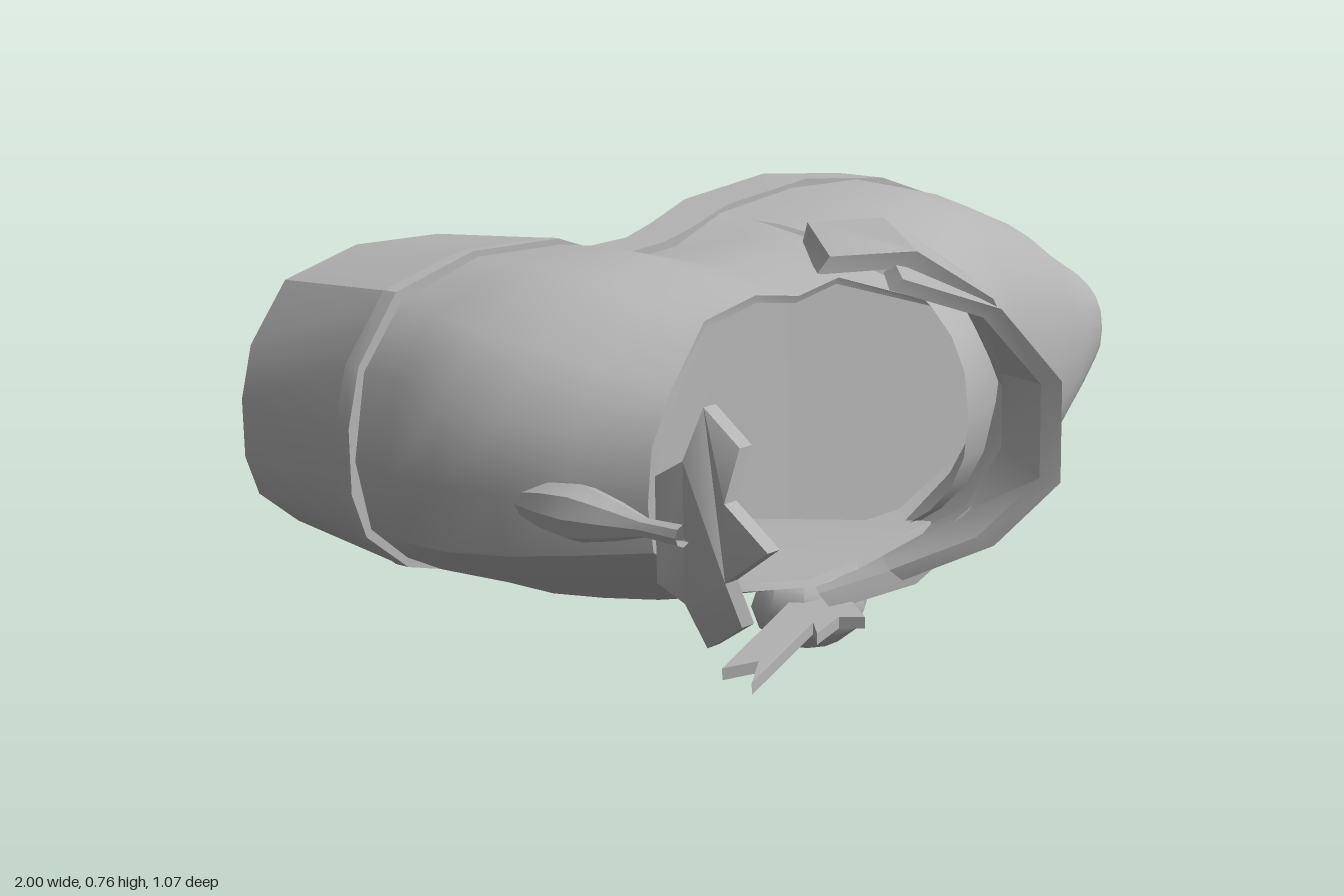
import * as THREE from 'three';
import { toCreasedNormals } from 'three/addons/utils/BufferGeometryUtils.js';

const grey = new THREE.MeshStandardMaterial({ color: 0xb4b4b4, side: THREE.DoubleSide });
grey.name = 'plain grey';

// Skins a list of equal-length point rows; optionally closes each row and caps the ends.
function loft(rows, closed = false, caps = false) {
  const n = rows[0].length, index = [];
  const last = closed ? n : n - 1;
  for (let r = 0; r < rows.length - 1; r++) {
    for (let i = 0; i < last; i++) {
      const a = r * n + i, b = r * n + ((i + 1) % n);
      index.push(a, b, a + n, b, b + n, a + n);
    }
  }
  if (caps) {
    const e = (rows.length - 1) * n;
    for (let i = 1; i < n - 1; i++) index.push(0, i + 1, i, e, e + i, e + i + 1);
  }
  const g = new THREE.BufferGeometry();
  g.setAttribute('position', new THREE.Float32BufferAttribute(rows.flat(2), 3));
  g.setIndex(index);
  return g;
}

// Extrudes an outline by a unit depth, then moves every vertex by a rule.
function bentPlate(points, rule) {
  const shape = new THREE.Shape(points.map(([x, y]) => new THREE.Vector2(x, y)));
  const g = new THREE.ExtrudeGeometry(shape, { depth: 1, bevelEnabled: false });
  const p = g.attributes.position;
  for (let i = 0; i < p.count; i++) p.setXYZ(i, ...rule(p.getX(i), p.getY(i), p.getZ(i)));
  g.computeVertexNormals();
  return g;
}

// Piecewise linear lookup.
function lookup(table, x) {
  for (let i = 1; i < table.length; i++) {
    const [x0, v0] = table[i - 1], [x1, v1] = table[i];
    if (x <= x1) return v0 + (v1 - v0) * Math.max(0, (x - x0) / (x1 - x0));
  }
  return table[table.length - 1][1];
}

const soleTop = x => lookup([[-1, -0.23], [-0.55, -0.24], [-0.4, -0.26], [-0.2, -0.32], [0.08, -0.43], [1, -0.42]], x);
const soleBottom = x => lookup([[-0.45, -0.26], [-0.4, -0.36], [-0.22, -0.4], [0.08, -0.535], [1, -0.535]], x);
const insoleZ = x => lookup([[-1, -0.16], [-0.42, -0.16], [0.05, -0.36]], x);

// Sole outline: x, low side y, high side y
const soleOutline = [
  [-0.995, 0.43, 0.53], [-0.97, 0.36, 0.62], [-0.89, 0.295, 0.72], [-0.73, 0.25, 0.76], [-0.54, 0.2, 0.755],
  [-0.45, 0.18, 0.725], [-0.4, 0.17, 0.705], [-0.22, 0.145, 0.7], [-0.1, 0.13, 0.705], [0.08, 0.1, 0.72],
  [0.3, 0.045, 0.743], [0.53, 0.02, 0.72], [0.76, 0.09, 0.645], [0.93, 0.22, 0.54], [0.99, 0.36, 0.42],
];

// Side wall stations from the instep, round the back, to the other instep
const wallBase = [
  [0.05, 0.71], [-0.17, 0.685], [-0.35, 0.69], [-0.54, 0.745], [-0.72, 0.75], [-0.88, 0.705], [-0.96, 0.61], [-0.985, 0.48],
  [-0.96, 0.37], [-0.89, 0.31], [-0.75, 0.26], [-0.6, 0.21], [-0.35, 0.17], [-0.1, 0.14], [0.05, 0.12],
];
const wallRim = [
  [0.05, 0.6, 0.06], [-0.17, 0.67, 0.03], [-0.38, 0.68, 0.12], [-0.54, 0.71, 0.17], [-0.7, 0.7, 0.21],
  [-0.82, 0.62, 0.25], [-0.87, 0.55, 0.26], [-0.88, 0.47, 0.26], [-0.87, 0.4, 0.26], [-0.8, 0.36, 0.245],
  [-0.66, 0.28, 0.2], [-0.55, 0.25, 0.17], [-0.35, 0.2, 0.12], [-0.12, 0.16, 0.03], [0.05, 0.2, 0.06],
];

// A curved band with thickness, from rear and front edge points
function band(edges, thickness) {
  const shrink = ([x, y, z]) => [x - thickness * 0.2, 0.42 + (y - 0.42) * (1 - thickness), -0.1 + (z + 0.1) * (1 - thickness)];
  return loft(edges.map(([rear, front]) => [rear, front, shrink(front), shrink(rear)]), true, true);
}

export function createModel() {
  const shoe = new THREE.Group();
  shoe.name = 'shoe';
  const add = (name, geometry, crease = 0.6) => {
    const mesh = new THREE.Mesh(toCreasedNormals(geometry, crease), grey);
    mesh.name = name;
    shoe.add(mesh);
    return mesh;
  };

  // Sole and heel block
  add('sole', loft(soleOutline.map(([x, lo, hi]) => [
    [x, lo, soleBottom(x)], [x, hi, soleBottom(x)], [x, hi, soleTop(x)], [x, lo, soleTop(x)],
  ]), true, true));
  const heelSide = soleOutline.slice(0, 7);
  const heelOutline = [...heelSide.map(([x, lo]) => [x, lo]), ...heelSide.map(([x, , hi]) => [x, hi]).reverse()];
  add('heel', bentPlate(heelOutline, (x, y, t) => {
    const s = 0.92 + 0.08 * t;
    return [-0.4 + (x + 0.4) * s, 0.47 + (y - 0.47) * s, -0.535 + t * 0.29];
  }));

  // Toe upper: arched sections x, low y, high y, top z
  const toeSections = [
    [0.03, 0.125, 0.71, 0.15], [0.13, 0.1, 0.715, 0.12], [0.26, 0.065, 0.73, 0.055], [0.45, 0.04, 0.725, -0.03],
    [0.58, 0.04, 0.695, -0.065], [0.76, 0.105, 0.63, -0.12], [0.87, 0.185, 0.565, -0.155], [0.945, 0.245, 0.525, -0.18],
    [0.985, 0.33, 0.45, -0.27],
  ];
  add('toeUpper', loft(toeSections.map(([x, lo, hi, top]) => {
    const base = soleTop(x);
    return Array.from({ length: 17 }, (_, i) => {
      const a = Math.PI * i / 16, c = Math.cos(a), k = 2 / 2.4;
      return [x, (lo + hi) / 2 + (hi - lo) / 2 * Math.sign(c) * Math.abs(c) ** k,
        base + (top - base) * Math.abs(Math.sin(a)) ** k];
    });
  }), false, false), 0.7);
  add('toeFront', loft([[[0.985, 0.33, -0.42], [0.985, 0.45, -0.42]], [[0.985, 0.34, -0.3], [0.985, 0.44, -0.3]],
    [[0.985, 0.38, -0.27], [0.985, 0.4, -0.27]]]));

  // Bulging rear wall, lining and insole
  const wallRing = t => wallBase.map(([bx, by], i) => {
    const [rx, ry, rz] = wallRim[i], bulge = Math.sin(Math.PI * t);
    const x = bx + (rx - bx) * t, y = by + (ry - by) * t, z = soleTop(bx);
    return [x < -0.4 ? -0.4 + (x + 0.4) * (1 + 0.13 * bulge) : x, 0.45 + (y - 0.45) * (1 + 0.09 * bulge), z + (rz - z) * t];
  });
  add('rearUpper', loft([0, 0.2, 0.4, 0.6, 0.8, 1].map(wallRing)), 0.7);
  const inset = ([x, y], s) => [-0.4 + (x + 0.4) * (x < -0.4 ? s : 1), 0.45 + (y - 0.45) * s];
  const innerRim = wallRim.map(p => [...inset(p, 0.95), p[2] - 0.005]);
  const innerBase = wallBase.map(p => [...inset(p, 0.92), insoleZ(p[0])]);
  add('lining', loft([wallRim, innerRim, innerBase]));
  add('insole', loft(innerBase.slice(0, 8).map((p, i) => [p, innerBase[14 - i]])));

  // Instep strap and tongue
  add('strap', band([
    [[-0.18, 0.705, 0.02], [-0.02, 0.725, -0.16]], [[-0.05, 0.705, 0.1], [0.08, 0.73, -0.07]],
    [[0.05, 0.62, 0.185], [0.19, 0.63, 0.02]], [[0.13, 0.42, 0.245], [0.26, 0.43, 0.08]],
    [[0.06, 0.25, 0.19], [0.19, 0.25, 0.02]], [[-0.05, 0.13, 0.1], [0.08, 0.1, -0.07]],
    [[-0.18, 0.1, 0.02], [-0.02, 0.08, -0.16]],
  ], 0.1));
  add('tongue', band([
    [[-0.14, 0.675, 0.14], [-0.06, 0.685, 0.06]], [[-0.06, 0.63, 0.28], [0.05, 0.62, 0.15]],
    [[0, 0.51, 0.36], [0.1, 0.49, 0.2]], [[0, 0.34, 0.36], [0.1, 0.35, 0.2]],
    [[-0.06, 0.23, 0.27], [0.05, 0.23, 0.15]], [[-0.14, 0.165, 0.14], [-0.06, 0.15, 0.06]],
  ], 0.07));

  // Side button with two ribbon tails
  const button = add('button', new THREE.SphereGeometry(1, 10, 6));
  button.scale.set(0.11, 0.08, 0.1);
  button.position.set(-0.11, 0.08, -0.085);
  const tails = [
    [[-0.12, -0.08], [-0.12, 0], [-0.48, 0.1], [-0.41, 0.055], [-0.46, 0.02]],
    [[-0.08, -0.06], [-0.16, -0.06], [-0.28, 0.07], [-0.21, 0.06], [-0.19, 0.1]],
  ];
  tails.forEach((tail, i) => add('ribbonTail' + (i + 1),
    bentPlate(tail, (x, z, t) => [x, 0.115 + (x + 0.12) * 0.13 - t * 0.02, z])));

  // Spur: turned stem and a cupped star
  const stem = add('spurStem', new THREE.LatheGeometry(
    [[0.02, 0.08], [0.035, 0.14], [0.042, 0.2], [0.03, 0.26], [0.014, 0.32], [0.016, 0.39]].map(p => new THREE.Vector2(...p)), 8));
  stem.rotation.x = Math.PI / 2;
  stem.position.set(-0.95, 0.465, 0);
  const halfStar = [[0.535, 0], [0.46, 0.055], [0.46, 0.125], [0.39, 0.17], [0.38, 0.1], [0.34, 0.075]];
  const star = [...halfStar, ...halfStar.slice(1).reverse().map(([z, v]) => [z, -v])];
  add('spurStar', bentPlate(star, (z, v, t) => [
    -0.985 + 0.08 * Math.abs(v) / 0.17 + 0.35 * Math.max(0, z - 0.42) + t * 0.025, 0.465 + v, z]));

  return shoe;
}
